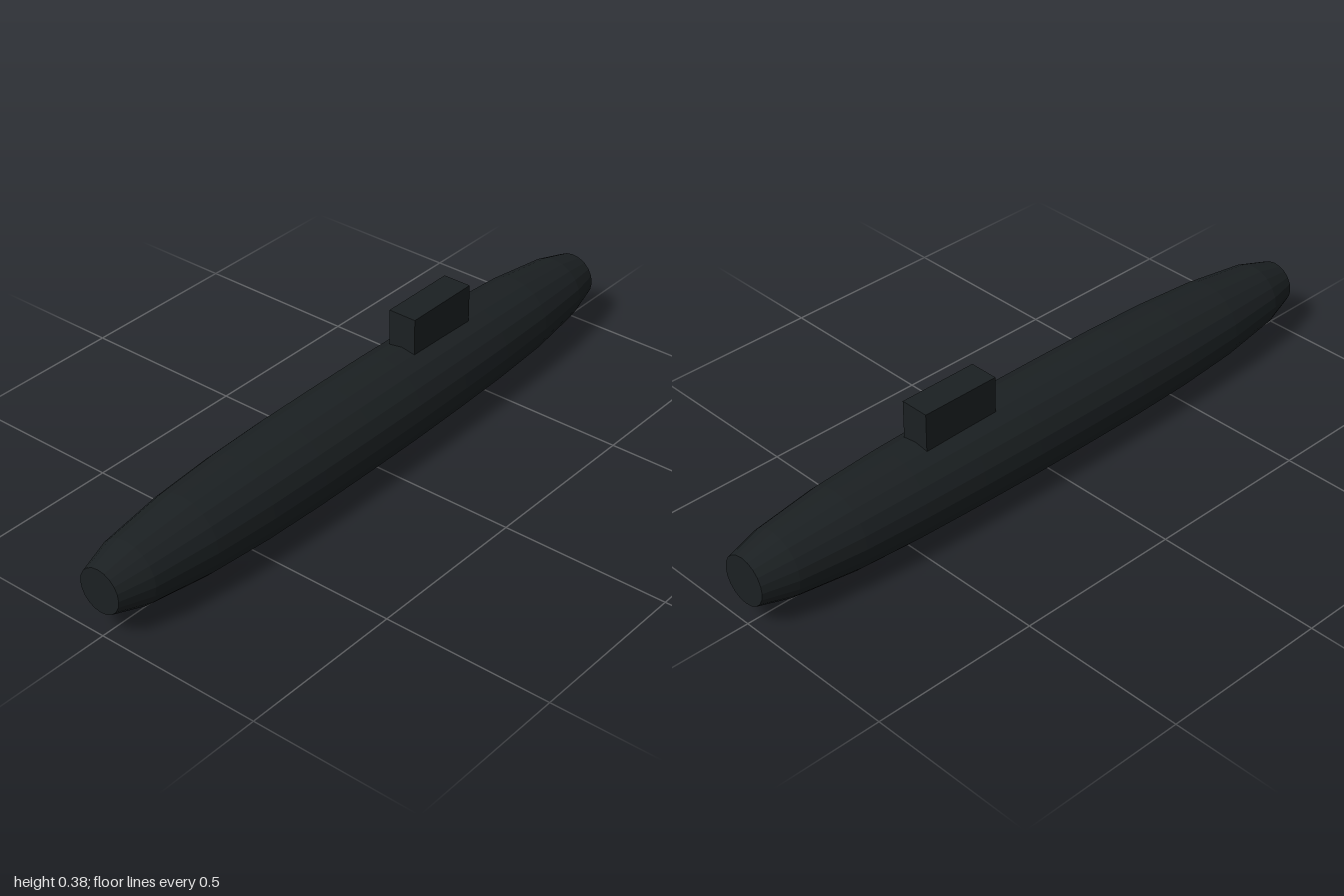
import * as THREE from 'three';

export function createModel() {
  const model = new THREE.Group();
  const material = new THREE.MeshStandardMaterial({ color: 0x1b2022, flatShading: true });

  const add = (name, geometry, x, y, z) => {
    const mesh = new THREE.Mesh(geometry, material);
    mesh.name = name;
    mesh.position.set(x, y, z);
    model.add(mesh);
    return mesh;
  };

  // Hull: 20-sided body with blunt flat ends, given as [radius, position along x]
  const profile = [
    [0, -1], [0.066, -1], [0.096, -0.9], [0.121, -0.7], [0.133, -0.5], [0.138, -0.3],
    [0.139, -0.1], [0.139, 0.1], [0.136, 0.3], [0.131, 0.5], [0.121, 0.7],
    [0.098, 0.9], [0.072, 1], [0, 1],
  ].map(([r, x]) => new THREE.Vector2(r, x));
  const hull = add('hull', new THREE.LatheGeometry(profile, 20), 0, 0.14, 0);
  hull.rotation.z = -Math.PI / 2;

  // Conning tower, sunk slightly into the hull
  add('conningTower', new THREE.BoxGeometry(0.245, 0.13, 0.088), 0.302, 0.315, 0);

  return model;
}
